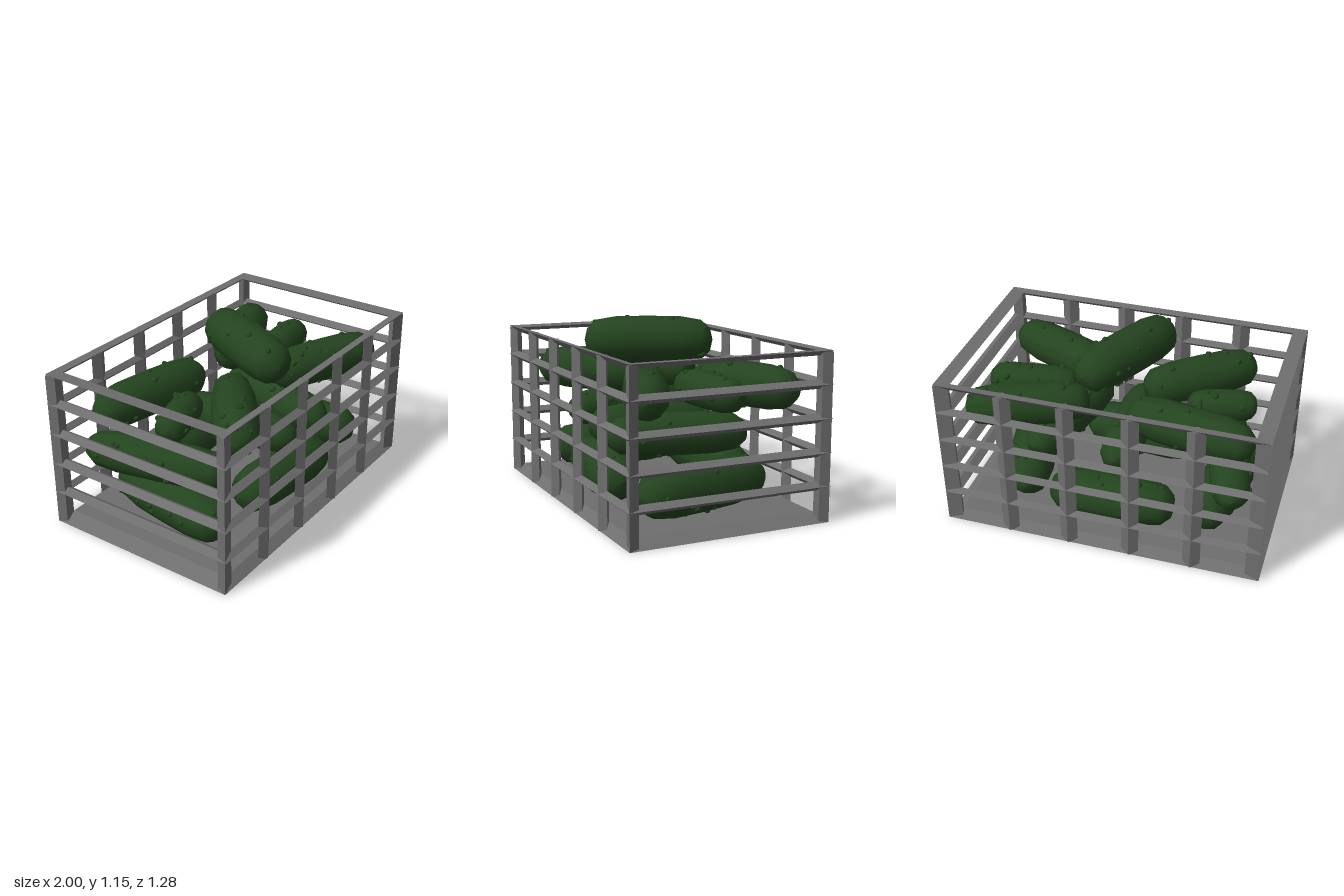
import * as THREE from 'three';

const X = 1, Z = 0.632; // outer half sizes of the crate
const grey = new THREE.MeshStandardMaterial({ color: 0x6e6e6e, flatShading: true });
const green = new THREE.MeshStandardMaterial({ color: 0x24441f });

function add(parent, name, geometry, material) {
  const mesh = new THREE.Mesh(geometry, material);
  mesh.name = name;
  parent.add(mesh);
  return mesh;
}

// Rectangular mitred ring; profile entries are [half x, half z, y], outer point first, then over the top
function ringGeometry(profile) {
  const corners = [[1, 1], [1, -1], [-1, -1], [-1, 1]];
  const pos = [], index = [];
  const n = profile.length;
  profile.forEach(([hx, hz, y]) => corners.forEach(([sx, sz]) => pos.push(sx * hx, y, sz * hz)));
  for (let i = 0; i < n; i++) {
    for (let k = 0; k < 4; k++) {
      const j = (i + 1) % n, m = (k + 1) % 4;
      const a = i * 4 + k, b = i * 4 + m, c = j * 4 + m, d = j * 4 + k;
      index.push(a, b, c, a, c, d);
    }
  }
  const g = new THREE.BufferGeometry();
  g.setAttribute('position', new THREE.Float32BufferAttribute(pos, 3));
  g.setIndex(index);
  const flat = g.toNonIndexed();
  flat.computeVertexNormals();
  return flat;
}

function createCrate() {
  const crate = new THREE.Group();
  crate.name = 'crate';

  // floor slab with edges sloping inward
  const floor = new THREE.BoxGeometry(2 * X, 0.05, 2 * Z).translate(0, 0.025, 0);
  const p = floor.attributes.position;
  for (let i = 0; i < p.count; i++) {
    if (p.getY(i) > 0.01) p.setXYZ(i, p.getX(i) * 0.915, 0.05, p.getZ(i) * 0.91);
  }
  floor.computeVertexNormals();
  add(crate, 'floor', floor, grey);

  // diamond-section rails around the crate
  for (const y of [0.215, 0.413, 0.613, 0.812]) {
    add(crate, 'rail', ringGeometry([
      [X, 0.64, y], [0.955, 0.605, y + 0.028], [0.91, 0.575, y], [0.955, 0.605, y - 0.028],
    ]), grey);
  }

  // top rim, flat above and ridged below
  add(crate, 'topRim', ringGeometry([
    [X, Z, 1.007], [0.91, 0.58, 1.0], [0.95, 0.605, 0.975],
  ]), grey);

  // kite-section corner posts
  for (const sx of [-1, 1]) {
    for (const sz of [-1, 1]) {
      const kite = [[X, Z], [0.91, 0.61], [0.92, 0.577], [0.985, 0.572]];
      const shape = new THREE.Shape(kite.map(([x, z]) => new THREE.Vector2(sx * x, sz * z)));
      const post = new THREE.ExtrudeGeometry(shape, { depth: 1.0, bevelEnabled: false });
      add(crate, 'cornerPost', post.rotateX(-Math.PI / 2), grey);
    }
  }

  // diamond-section posts on the long sides
  for (const x of [-0.58, -0.195, 0.195, 0.58]) {
    for (const s of [-1, 1]) {
      const post = new THREE.CylinderGeometry(1, 1, 1, 4).scale(0.055, 1.0, 0.033);
      add(crate, 'sidePost', post, grey).position.set(x, 0.502, s * 0.607);
    }
  }
  return crate;
}

// small seeded generator for the bumps
let seed = 7;
function rand() {
  seed = (seed * 16807) % 2147483647;
  return seed / 2147483647;
}

// half profile of a cucumber: [share of half length, share of radius]
const half = [[0, 1], [0.5, 0.98], [0.82, 0.83], [0.96, 0.48], [1, 0]];
const profile = [...half.slice(1).reverse().map(([t, r]) => [-t, r]), ...half];

function radiusAt(t) {
  const a = Math.abs(t);
  const i = half.findIndex(([h]) => h > a);
  const [t0, r0] = half[i - 1], [t1, r1] = half[i];
  return r0 + (r1 - r0) * (a - t0) / (t1 - t0);
}

// cucumber between two tips in the xz plane, at height y
function createCucumber([x0, z0, x1, z1, y, radius]) {
  const cucumber = new THREE.Group();
  cucumber.name = 'cucumber';
  const axis = new THREE.Vector3(x1 - x0, 0, z1 - z0);
  const halfLength = axis.length() / 2;

  const points = profile.map(([t, r]) => new THREE.Vector2(r * radius, t * halfLength));
  add(cucumber, 'cucumberBody', new THREE.LatheGeometry(points, 12), green);

  for (let i = 0; i < 14; i++) {
    const t = (rand() * 2 - 1) * 0.88, angle = rand() * Math.PI * 2;
    const size = 0.012 + rand() * 0.009;
    const r = radiusAt(t) * radius * 0.97;
    const bump = add(cucumber, 'bump', new THREE.SphereGeometry(size, 8, 6), green);
    bump.position.set(Math.sin(angle) * r, t * halfLength, Math.cos(angle) * r);
  }

  cucumber.position.set((x0 + x1) / 2, y, (z0 + z1) / 2);
  cucumber.quaternion.setFromUnitVectors(new THREE.Vector3(0, 1, 0), axis.normalize());
  return cucumber;
}

// tip x, tip z, other tip x, other tip z, height, radius
const cucumbers = [
  // bottom layer
  [-0.72, 0.43, -0.58, -0.44, 0.207, 0.152],
  [0.75, 0.46, 0.54, -0.44, 0.207, 0.152],
  [-0.41, 0.32, 0.39, 0.40, 0.207, 0.152],
  [-0.41, -0.36, 0.39, -0.38, 0.207, 0.152],
  // second layer
  [-0.79, -0.54, -0.57, 0.36, 0.472, 0.13],
  [-0.02, -0.37, -0.01, 0.45, 0.472, 0.13],
  [0.29, 0.47, 0.5, -0.37, 0.472, 0.13],
  // third layer
  [0.89, -0.46, 0.18, -0.19, 0.77, 0.135],
  [0.88, 0.47, 0.16, 0.16, 0.77, 0.135],
  [-0.87, -0.37, -0.07, -0.22, 0.77, 0.137],
  [-0.7, 0.51, -0.1, 0.04, 0.77, 0.137],
  [0.31, -0.02, 0.88, -0.09, 0.755, 0.11],
  [-0.8, 0.08, -0.39, -0.04, 0.755, 0.1],
  // top one
  [-0.15, 0.42, 0.2, -0.29, 0.995, 0.147],
];

export function createModel() {
  const model = new THREE.Group();
  model.name = 'crateOfCucumbers';
  model.add(createCrate());
  cucumbers.forEach((c) => model.add(createCucumber(c)));
  return model;
}
